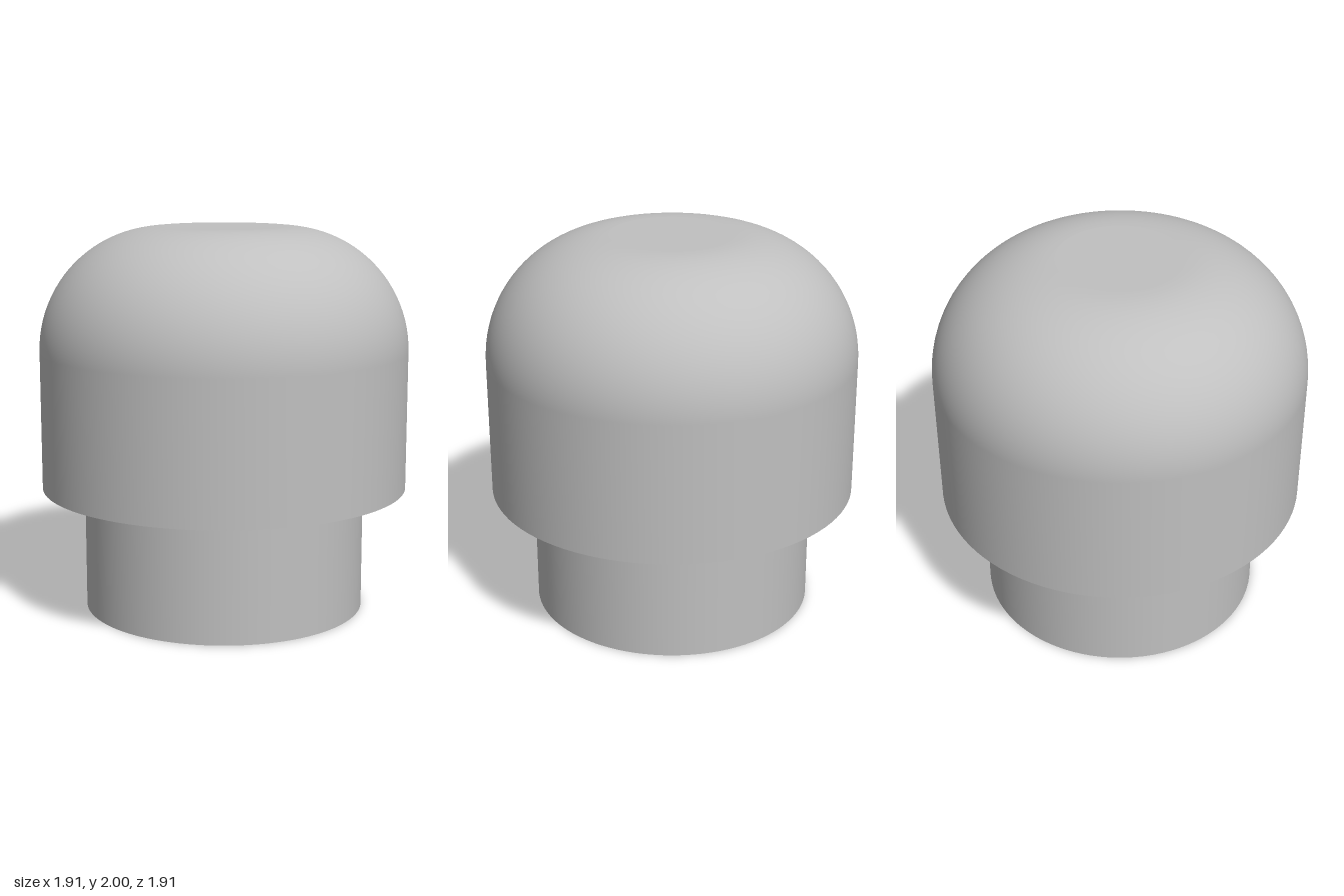
import * as THREE from 'three';

const SEGMENTS = 96;
const CAP_RADIUS = 0.957, CAP_BOTTOM = 0.645, HEIGHT = 2, FILLET = 0.637;
const STEM_RADIUS = 0.735;

export function createModel() {
  const group = new THREE.Group();
  const grey = new THREE.MeshStandardMaterial({ color: 0xc0c0c0 });
  grey.name = 'light grey';

  const add = (name, geometry) => {
    const mesh = new THREE.Mesh(geometry, grey);
    mesh.name = name;
    group.add(mesh);
    return mesh;
  };

  // Cap: straight wall running tangentially into a quarter-round shoulder
  const profile = [new THREE.Vector2(CAP_RADIUS, CAP_BOTTOM)];
  const steps = 24;
  for (let i = 0; i <= steps; i++) {
    const a = (i / steps) * Math.PI / 2;
    profile.push(new THREE.Vector2(
      CAP_RADIUS - FILLET + FILLET * Math.cos(a),
      HEIGHT - FILLET + FILLET * Math.sin(a)));
  }
  add('capShell', new THREE.LatheGeometry(profile, SEGMENTS));

  // Flat crown on top of the cap
  const crown = add('capCrown', new THREE.CircleGeometry(CAP_RADIUS - FILLET, SEGMENTS));
  crown.rotation.x = -Math.PI / 2;
  crown.position.y = HEIGHT;

  // Flat underside of the cap, around the stem
  const underside = add('capUnderside', new THREE.RingGeometry(STEM_RADIUS, CAP_RADIUS, SEGMENTS));
  underside.rotation.x = Math.PI / 2;
  underside.position.y = CAP_BOTTOM;

  // Stem: open wall closed by a flat base
  const stem = add('stem', new THREE.CylinderGeometry(STEM_RADIUS, STEM_RADIUS, CAP_BOTTOM, SEGMENTS, 1, true));
  stem.position.y = CAP_BOTTOM / 2;
  const base = add('stemBase', new THREE.CircleGeometry(STEM_RADIUS, SEGMENTS));
  base.rotation.x = Math.PI / 2;

  return group;
}
